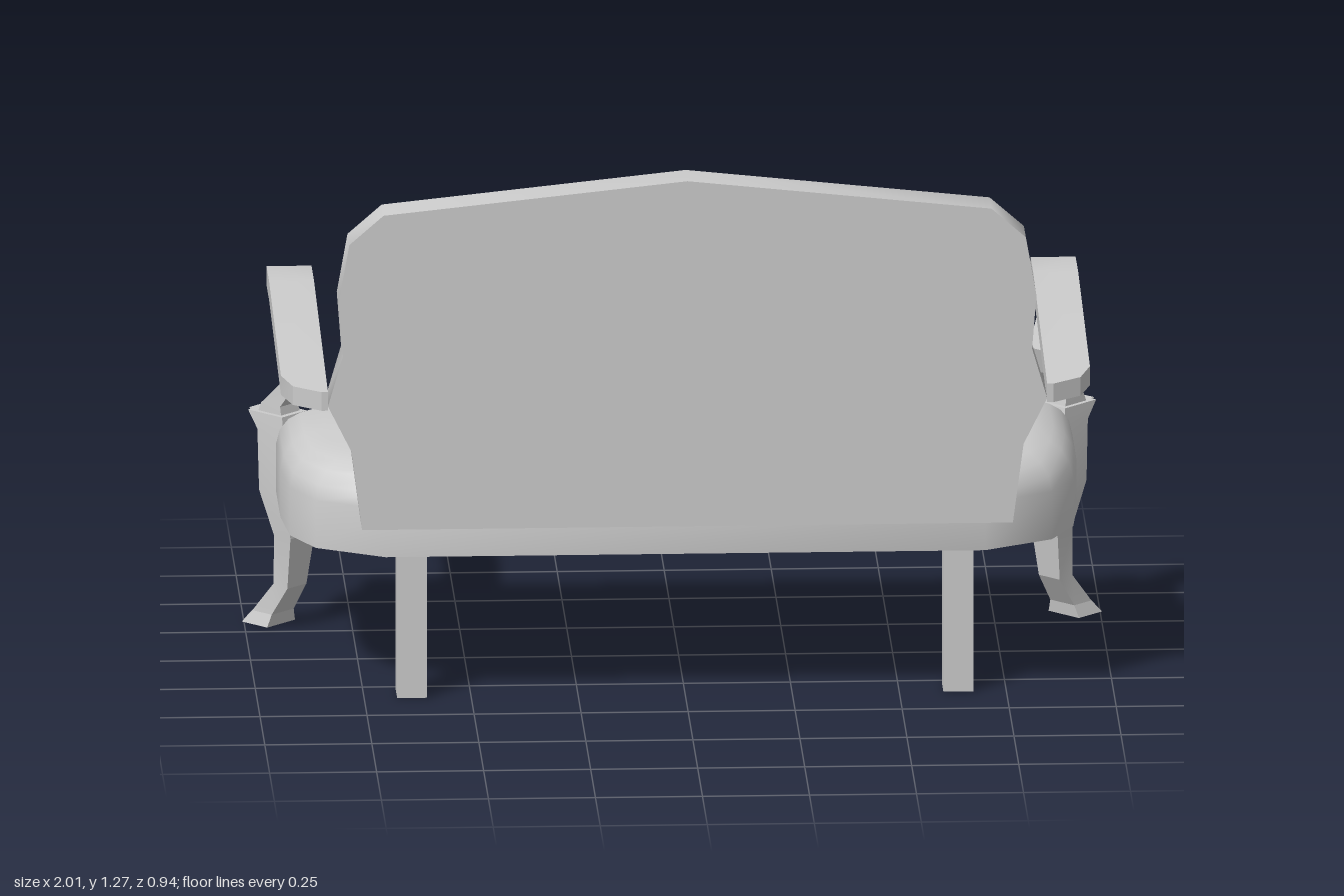
import * as THREE from 'three';
import { toCreasedNormals } from 'three/addons/utils/BufferGeometryUtils.js';

const material = new THREE.MeshStandardMaterial({ color: 0xcccccc });
const shellMaterial = new THREE.MeshStandardMaterial({ color: 0xcccccc, side: THREE.DoubleSide });

// Skin a list of closed rings (counter-clockwise about the travel direction); side -1 mirrors in x
function loft(rings, { capStart = true, capEnd = true, side = 1, crease = 0.5 } = {}) {
  const n = rings[0].length;
  const points = rings.flat();
  const index = [];
  const tri = (a, b, c) => (side > 0 ? index.push(a, b, c) : index.push(a, c, b));
  for (let i = 0; i < rings.length - 1; i++) {
    for (let j = 0; j < n; j++) {
      const a = i * n + j, b = i * n + (j + 1) % n;
      tri(a, b, b + n);
      tri(a, b + n, a + n);
    }
  }
  const cap = (ring, start, flip) => {
    const center = [0, 1, 2].map(k => ring.reduce((sum, p) => sum + p[k], 0) / n);
    const c = points.push(center) - 1;
    for (let j = 0; j < n; j++) {
      const a = start + j, b = start + (j + 1) % n;
      flip ? tri(c, b, a) : tri(c, a, b);
    }
  };
  if (capStart) cap(rings[0], 0, true);
  if (capEnd) cap(rings[rings.length - 1], (rings.length - 1) * n, false);
  const geometry = new THREE.BufferGeometry();
  const flat = points.flatMap(([x, y, z]) => [x * side, y, z]);
  geometry.setAttribute('position', new THREE.Float32BufferAttribute(flat, 3));
  geometry.setIndex(index);
  return toCreasedNormals(geometry, crease);
}

// Close a right-hand half outline (bottom to top) with its mirror image
const mirrorOutline = half =>
  [...half, ...half.filter(p => p[0] > 0).reverse().map(([x, y]) => [-x, y])];

// Section of a corner post, turned 45 degrees; rib is the depth of its raised front strip
function cornerSection([y, inner, outer, half], rib) {
  const r = half * 0.6, o = outer - rib;
  const section = rib > 0
    ? [[outer, r], [outer, -r], [o, -r], [o, -half], [inner, -half], [inner, half], [o, half], [o, r]]
    : [[outer, half], [outer, -half], [inner, -half], [inner, half]];
  return section.map(([u, w]) =>
    [0.9 + (u + w) * Math.SQRT1_2, y, -0.305 + (w - u) * Math.SQRT1_2]);
}

export function createModel() {
  const group = new THREE.Group();
  const add = (name, geometry, mat = material) => {
    const mesh = new THREE.Mesh(geometry, mat);
    mesh.name = name;
    group.add(mesh);
    return mesh;
  };

  // Back frame
  const backOutline = mirrorOutline([
    [0.76, 0.44], [0.785, 0.63], [0.84, 0.74], [0.805, 0.86],
    [0.815, 0.99], [0.79, 1.13], [0.71, 1.2], [0, 1.275],
  ]);
  const backShape = new THREE.Shape(backOutline.map(p => new THREE.Vector2(...p)));
  const back = new THREE.ExtrudeGeometry(backShape, { depth: 0.1, bevelEnabled: false });
  add('backFrame', toCreasedNormals(back.translate(0, 0, 0.37), 0.9));

  // Padded back panel with bevelled border
  const padOutline = mirrorOutline([
    [0.69, 0.52], [0.715, 0.64], [0.755, 0.85], [0.755, 1.0], [0.735, 1.07], [0.665, 1.115], [0, 1.18],
  ]);
  const padRings = [[0.34, 0.035], [0.345, 0.024], [0.372, 0]].map(([z, inset]) =>
    padOutline.map(([x, y]) => [x * (1 - inset / 0.75), 0.85 + (y - 0.85) * (1 - inset / 0.33), z]));
  add('backPad', loft(padRings, { capEnd: false, crease: 0.9 }));

  // Seat cushion: hollow below, with a sloped rim and a dipped front apron
  const frontX = [0.84, 0.5, 0.32, 0.15, 0];
  const seatOutline = [
    [0.7, 0.365], [0.86, 0.275], [0.915, 0.16], [0.93, 0], [0.93, -0.23],
    ...frontX.map(x => [x, -0.335]),
    ...frontX.slice(0, -1).reverse().map(x => [-x, -0.335]),
    [-0.93, -0.23], [-0.93, 0], [-0.915, 0.16], [-0.86, 0.275], [-0.7, 0.365],
  ];
  const seatRing = (y, inset, dip = 0) => seatOutline.map(([x, z]) => {
    const drop = z < -0.3 ? dip * THREE.MathUtils.clamp((0.5 - Math.abs(x)) / 0.35, 0, 1) : 0;
    return [x * (1 - inset / 0.93), y - drop, 0.015 + (z - 0.015) * (1 - inset / 0.35)];
  });
  const seatRings = [
    seatRing(0.365, 0.1), seatRing(0.345, 0, 0.045), seatRing(0.46, 0), seatRing(0.495, 0.008),
    seatRing(0.525, 0.028), seatRing(0.545, 0.055), seatRing(0.56, 0.1),
  ];
  add('seat', loft(seatRings, { capStart: false, crease: 0.75 }), shellMaterial);

  // Arm stations: z, inner x, outer x, bottom y, top y
  const armStations = [
    [-0.468, 0.88, 0.92, 0.79, 0.824], [-0.435, 0.855, 0.942, 0.795, 0.833],
    [-0.39, 0.84, 0.945, 0.8, 0.846], [-0.255, 0.84, 0.945, 0.8, 0.846],
    [0.36, 0.84, 0.945, 0.74, 0.786], [0.43, 0.84, 0.92, 0.734, 0.779],
    [0.47, 0.84, 0.855, 0.73, 0.775],
  ];
  const armRings = armStations.map(([z, a, b, y0, y1]) => [[a, y0, z], [b, y0, z], [b, y1, z], [a, y1, z]]);

  // Corner stations: y, inner and outer reach along the diagonal, half width
  const legStations = [
    [0, 0.02, 0.112, 0.048], [0.03, 0.015, 0.085, 0.038], [0.1, -0.03, 0.026, 0.033],
    [0.225, -0.048, 0.016, 0.042], [0.33, -0.037, 0.056, 0.05], [0.475, -0.03, 0.065, 0.046],
    [0.515, -0.022, 0.097, 0.043],
  ];
  const postStations = [
    [0.51, -0.01, 0.065, 0.032], [0.535, -0.005, 0.055, 0.031], [0.6, -0.054, -0.012, 0.027],
    [0.66, -0.072, -0.03, 0.027], [0.76, -0.034, -0.008, 0.025], [0.81, 0, 0.04, 0.024],
  ];

  for (const [label, side] of [['left', 1], ['right', -1]]) {
    add(label + 'Arm', loft(armRings, { side, crease: 0.4 }));
    add(label + 'FrontLeg', loft(legStations.map(s => cornerSection(s, 0.012)), { side, crease: 0.2 }));
    add(label + 'ArmPost', loft(postStations.map(s => cornerSection(s, 0)), { side, crease: 0.2 }));
    // Square back leg
    add(label + 'BackLeg', new THREE.BoxGeometry(0.07, 0.35, 0.075))
      .position.set(side * 0.638, 0.175, 0.313);
  }
  return group;
}
